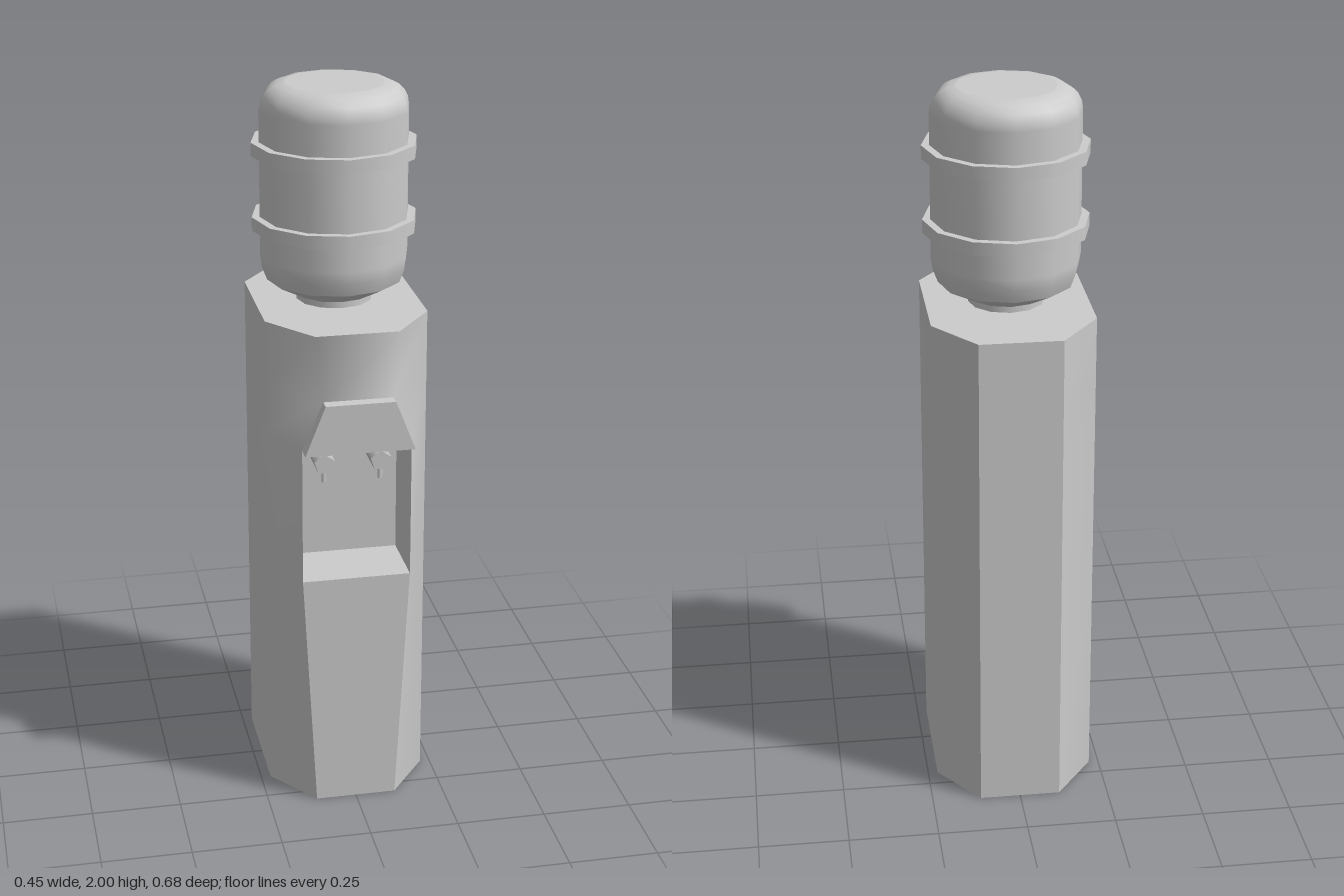
import * as THREE from 'three';
import { ConvexGeometry } from 'three/addons/geometries/ConvexGeometry.js';

const material = new THREE.MeshStandardMaterial({ color: 0xcccccc, side: THREE.DoubleSide });

function add(parent, name, geometry, x = 0, y = 0, z = 0) {
  const mesh = new THREE.Mesh(geometry, material);
  mesh.name = name;
  mesh.position.set(x, y, z);
  parent.add(mesh);
  return mesh;
}

// Flat convex polygon from its corners, counter-clockwise from outside
function polygon(corners) {
  const index = [];
  for (let i = 1; i < corners.length - 1; i++) index.push(0, i, i + 1);
  const g = new THREE.BufferGeometry();
  g.setAttribute('position', new THREE.Float32BufferAttribute(corners.flat(), 3));
  g.setIndex(index);
  g.computeVertexNormals();
  return g;
}

const lathe = (profile) =>
  new THREE.LatheGeometry(profile.map(([r, y]) => new THREE.Vector2(r, y)), 12);

// Cabinet cross-section: an octagon whose front edge changes with height
const ring = (y, w, z) => [
  [-0.113, y, -0.342], [-0.223, y, -0.195], [-0.223, y, 0.148], [-w, y, z],
  [w, y, z], [0.223, y, 0.148], [0.223, y, -0.195], [0.113, y, -0.342],
];

function createCabinet() {
  const cabinet = new THREE.Group();
  cabinet.name = 'cabinet';
  const rings = [
    ring(0, 0.113, 0.295), ring(0.69, 0.15, 0.295), ring(1.08, 0.15, 0.295),
    ring(1.22, 0.095, 0.308), ring(1.4, 0.113, 0.295),
  ];

  // Smooth side shell, closed at the front only above the hood
  const index = [];
  for (let i = 0; i < 4; i++) {
    for (let j = 0; j < 7; j++) {
      if (j === 3 && i < 3) continue;
      const a = i * 8 + j, b = a + 8;
      index.push(a, a + 1, b + 1, a, b + 1, b);
    }
  }
  const shell = new THREE.BufferGeometry();
  shell.setAttribute('position', new THREE.Float32BufferAttribute(rings.flat(2), 3));
  shell.setIndex(index);
  shell.computeVertexNormals();
  add(cabinet, 'sideShell', shell);

  // Flat panels; the underside stays open
  const [low, ledge] = rings, top = rings[4];
  add(cabinet, 'backPanel', polygon([low[7], low[0], top[0], top[7]]));
  add(cabinet, 'topPanel', polygon(top));
  add(cabinet, 'lowerFrontPanel', polygon([low[3], low[4], ledge[4], ledge[3]]));
  return cabinet;
}

function createDispenser() {
  const dispenser = new THREE.Group();
  dispenser.name = 'dispenser';
  const w = 0.15, y0 = 0.69, y1 = 1.08, f = 0.295, b = 0.11;

  // Recessed bay
  const slab = (y) => [[-w, y, f], [w, y, f], [w, y, b], [-w, y, b]];
  add(dispenser, 'bayFloor', polygon(slab(y0)));
  add(dispenser, 'bayCeiling', polygon(slab(y1).reverse()));
  add(dispenser, 'bayBack', polygon([[-w, y0, b], [w, y0, b], [w, y1, b], [-w, y1, b]]));
  for (const s of [-1, 1]) {
    const wall = [[s * w, y0, f], [s * w, y0, b], [s * w, y1, b], [s * w, y1, f]];
    add(dispenser, s > 0 ? 'bayLeftWall' : 'bayRightWall', polygon(s > 0 ? wall.reverse() : wall));
  }

  // Tapered hood above the bay
  const corners = [];
  for (const s of [-1, 1]) {
    corners.push(
      new THREE.Vector3(s * w, y1, f), new THREE.Vector3(s * w, y1, 0.342),
      new THREE.Vector3(s * 0.095, 1.22, 0.308), new THREE.Vector3(s * 0.095, 1.22, 0.342));
  }
  add(dispenser, 'hood', new ConvexGeometry(corners));

  // Pair of taps with short spouts
  for (const s of [-1, 1]) {
    const tap = new THREE.Group();
    tap.name = s > 0 ? 'leftTap' : 'rightTap';
    tap.position.set(s * 0.078, 1.01, 0);
    add(tap, 'tapBody', new THREE.CylinderGeometry(0.03, 0.03, 0.13, 5).rotateX(-Math.PI / 2), 0, 0, 0.175);
    add(tap, 'spout', new THREE.CylinderGeometry(0.007, 0.007, 0.05, 6), 0, -0.03, 0.225);
    dispenser.add(tap);
  }
  return dispenser;
}

function createBottle() {
  const bottle = new THREE.Group();
  bottle.name = 'bottle';
  bottle.position.z = -0.024;

  // Straight wall with a rounded upper edge
  const wall = [[0.187, 1.46], [0.2, 1.495], [0.205, 1.53], [0.205, 1.93]];
  for (let i = 1; i <= 5; i++) {
    const a = (i / 5) * Math.PI / 2;
    wall.push([0.136 + 0.069 * Math.cos(a), 1.93 + 0.07 * Math.sin(a)]);
  }
  add(bottle, 'bottleWall', lathe(wall));
  add(bottle, 'bottleTop', new THREE.CircleGeometry(0.136, 12).rotateX(-Math.PI / 2), 0, 2, 0);
  add(bottle, 'bottleShoulder', lathe([[0.105, 1.417], [0.187, 1.46]]));
  add(bottle, 'bottleNeck', lathe([[0.105, 1.395], [0.105, 1.417]]));

  // Raised bands
  for (const y of [1.62, 1.826]) {
    add(bottle, 'band', new THREE.CylinderGeometry(0.227, 0.227, 0.037, 12), 0, y, 0);
  }
  return bottle;
}

export function createModel() {
  const model = new THREE.Group();
  model.name = 'waterCooler';
  model.add(createCabinet(), createDispenser(), createBottle());
  return model;
}
